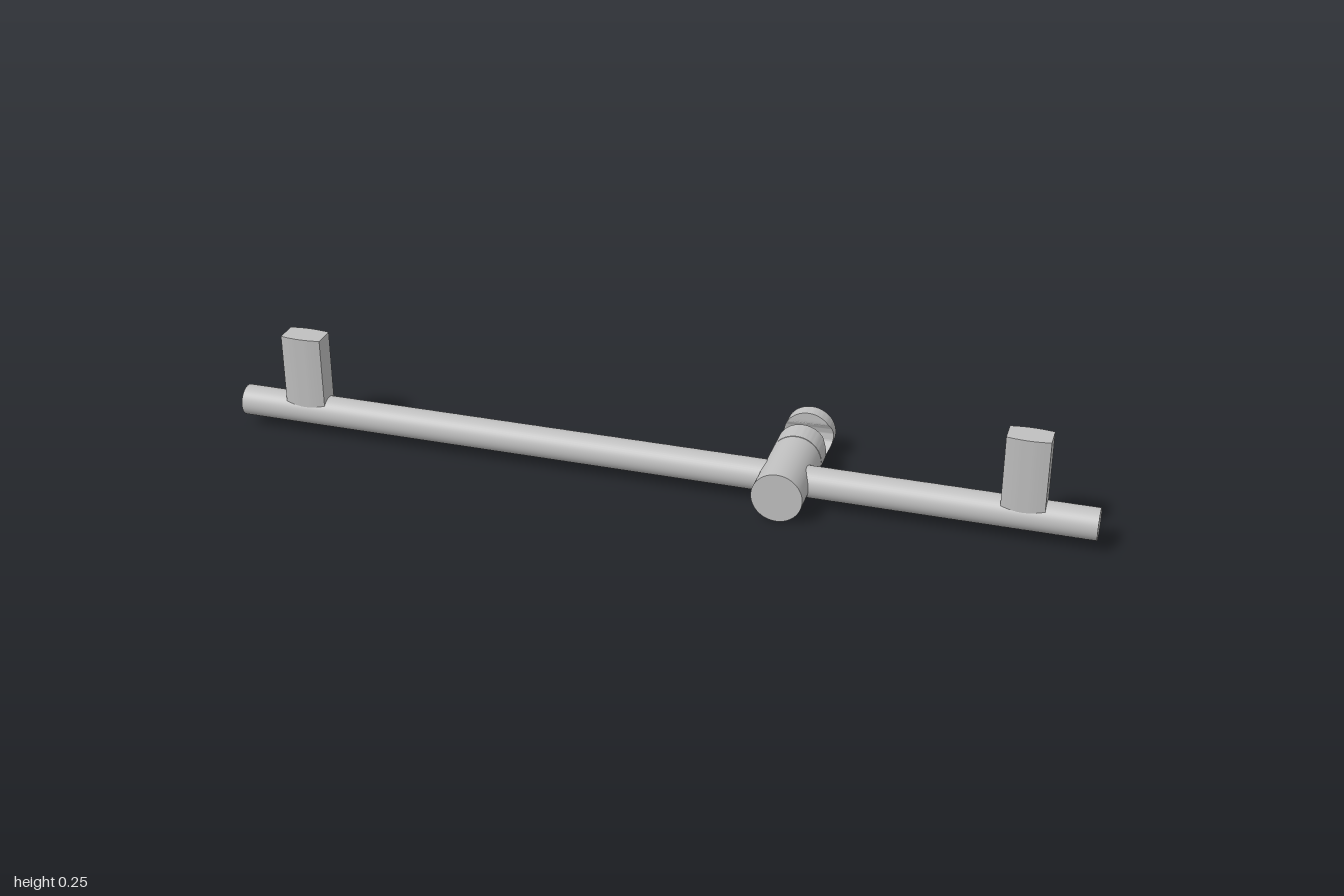
import * as THREE from 'three';
import { toCreasedNormals } from 'three/addons/utils/BufferGeometryUtils.js';

const RAIL_Y = 0.061, RAIL_Z = 0.075, RAIL_R = 0.036;
const SLIDER_X = 0.313, SLIDER_R = 0.058;

// Half of the hook: a round bar along z, cut by a tapered cross hole with a slot open to the top.
// Each height gives one four-cornered section; side is +1 (front half) or -1 (back half).
function hookHalf(side, zOuter, zHole) {
  const yHole = 0.007, slot = 0.0285, wide = 0.039, narrow = 0.035;
  const gap = (y, r) => {
    const d = y - yHole;
    const round = Math.sqrt(Math.max(0, r * r - d * d));
    return d > 0 ? Math.max(slot, round) : round;
  };
  const heights = [];
  for (let i = 0; i <= 32; i++) heights.push(-SLIDER_R * Math.cos(Math.PI * i / 32));
  for (const r of [wide, narrow]) {
    for (let i = 0; i <= 20; i++) heights.push(yHole - r * Math.cos(0.76 * Math.PI * i / 20));
  }
  heights.sort((a, b) => a - b);

  const sections = heights.map((y) => {
    const x = Math.sqrt(Math.max(0, SLIDER_R * SLIDER_R - y * y));
    const a = zHole + side * gap(y, wide), b = zHole + side * gap(y, narrow);
    return [[x, y, zOuter], [x, y, a], [-x, y, b], [-x, y, zOuter]];
  });
  const pos = [];
  for (let i = 0; i + 1 < sections.length; i++) {
    const lo = sections[i], hi = sections[i + 1];
    if (heights[i + 1] - heights[i] < 1e-6) continue;
    for (let k = 0; k < 4; k++) {
      const n = (k + 1) % 4;
      // Below the hole the two halves join, so no wall is needed there
      if (k === 1 && [lo[1], lo[2], hi[1], hi[2]].every((p) => p[2] === zHole)) continue;
      const quad = side > 0
        ? [lo[k], hi[k], hi[n], lo[k], hi[n], lo[n]]
        : [lo[k], hi[n], hi[k], lo[k], lo[n], hi[n]];
      for (const p of quad) pos.push(...p);
    }
  }
  const g = new THREE.BufferGeometry();
  g.setAttribute('position', new THREE.Float32BufferAttribute(pos, 3));
  // Winding check: the signed volume must be positive
  let volume = 0;
  const a = new THREE.Vector3(), b = new THREE.Vector3(), c = new THREE.Vector3();
  for (let i = 0; i < pos.length; i += 9) {
    volume += a.fromArray(pos, i).dot(b.fromArray(pos, i + 3).cross(c.fromArray(pos, i + 6)));
  }
  if (volume < 0) {
    for (let i = 0; i < pos.length; i += 9) {
      for (let k = 0; k < 3; k++) [pos[i + 3 + k], pos[i + 6 + k]] = [pos[i + 6 + k], pos[i + 3 + k]];
    }
    g.setAttribute('position', new THREE.Float32BufferAttribute(pos, 3));
  }
  return toCreasedNormals(g, 0.6);
}

export function createModel() {
  const model = new THREE.Group();
  const metal = new THREE.MeshStandardMaterial({ color: 0xc0c0c0 });
  metal.name = 'satin metal';
  const add = (parent, name, geometry, x, y, z) => {
    const mesh = new THREE.Mesh(geometry, metal);
    mesh.name = name;
    mesh.position.set(x, y, z);
    parent.add(mesh);
    return mesh;
  };

  // Long round rail
  add(model, 'rail', new THREE.CylinderGeometry(RAIL_R, RAIL_R, 2, 48).rotateZ(Math.PI / 2), 0, RAIL_Y, RAIL_Z);

  // Wall posts with slightly bowed front and back faces
  const w = 0.048, d = 0.026, bow = 0.036;
  const outline = new THREE.Shape();
  outline.moveTo(-w, -d);
  outline.quadraticCurveTo(0, -bow, w, -d);
  outline.lineTo(w, d);
  outline.quadraticCurveTo(0, bow, -w, d);
  outline.closePath();
  const post = toCreasedNormals(
    new THREE.ExtrudeGeometry(outline, { depth: 0.184, bevelEnabled: false, curveSegments: 10 }).rotateX(-Math.PI / 2), 0.5);
  for (const s of [-1, 1]) {
    add(model, s > 0 ? 'leftPost' : 'rightPost', post, s * 0.838, 0.07, RAIL_Z);
  }

  // Slider: clamp body around the rail, thin neck, and slotted hook behind it
  const slider = new THREE.Group();
  slider.name = 'slider';
  slider.position.set(SLIDER_X, RAIL_Y - 0.0005, 0);
  model.add(slider);
  const bar = (r, z0, z1) => new THREE.CylinderGeometry(r, r, z1 - z0, 64).rotateX(Math.PI / 2).translate(0, 0, (z0 + z1) / 2);
  add(slider, 'clampBody', bar(SLIDER_R, -0.0145, 0.167), 0, 0, 0);
  add(slider, 'neck', bar(0.05, -0.02, -0.012), 0, 0, 0);
  add(slider, 'hookFront', hookHalf(1, -0.017, -0.1035), 0, 0, 0);
  add(slider, 'hookBack', hookHalf(-1, -0.167, -0.1035), 0, 0, 0);
  return model;
}
